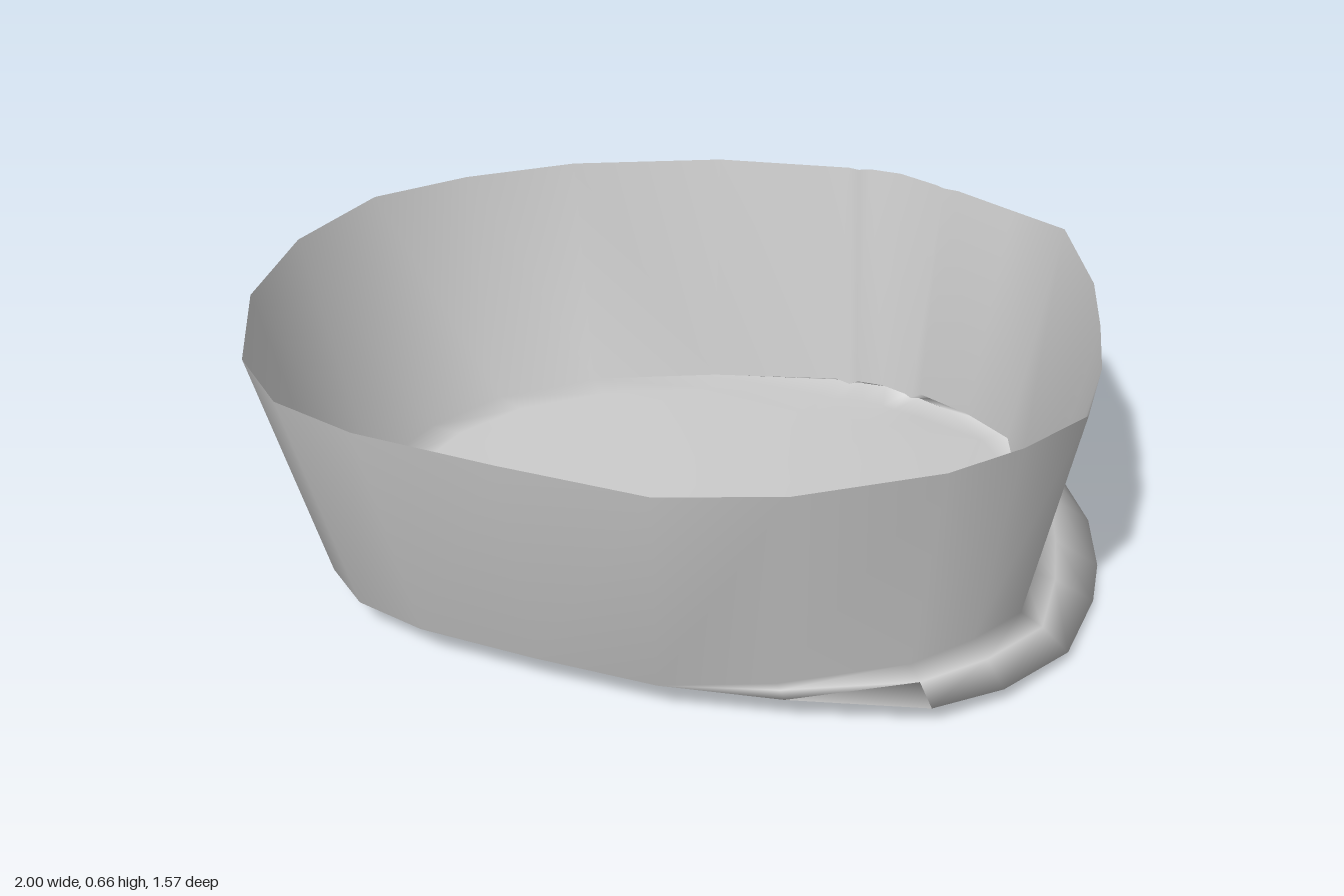
import * as THREE from 'three';
import { mergeVertices } from 'three/addons/utils/BufferGeometryUtils.js';

const RIM_Y = 0.67;

// Around the tub: [rim x, rim z, foot x, foot z]
const WALL = [
  [-1.0, 0.02, -0.84, 0.02], [-0.95, -0.26, -0.8, -0.22], [-0.81, -0.5, -0.69, -0.43],
  [-0.6, -0.63, -0.53, -0.56], [-0.34, -0.73, -0.29, -0.635], [0.03, -0.785, 0.03, -0.665],
  [0.36, -0.765, 0.35, -0.665],
  // raised strip between two narrow creases
  [0.385, -0.755, 0.385, -0.64], [0.415, -0.76, 0.405, -0.655], [0.49, -0.742, 0.47, -0.64],
  [0.58, -0.685, 0.53, -0.6], [0.6, -0.667, 0.545, -0.58], [0.635, -0.655, 0.57, -0.6],
  [0.765, -0.56, 0.69, -0.51], [0.89, -0.47, 0.79, -0.4], [0.945, -0.2, 0.81, -0.19],
  [0.948, 0.0, 0.81, 0.0], [0.94, 0.19, 0.81, 0.17], [0.9, 0.39, 0.8, 0.34],
  [0.76, 0.53, 0.69, 0.45], [0.6, 0.64, 0.55, 0.55], [0.28, 0.755, 0.26, 0.64],
  [0.0, 0.78, 0.0, 0.665], [-0.33, 0.69, -0.28, 0.59], [-0.65, 0.59, -0.55, 0.5],
  [-0.84, 0.48, -0.71, 0.4], [-0.95, 0.31, -0.8, 0.26],
];

// Outer edge of the flange beside wall points 5 to 21: [x, y, z]
const LIP_START = 5;
const LIP = [
  [0.03, 0.095, -0.675], [0.35, 0.09, -0.685], [0.39, 0.085, -0.685], [0.42, 0.082, -0.685],
  [0.48, 0.075, -0.685], [0.54, 0.065, -0.675], [0.57, 0.055, -0.665], [0.64, 0.035, -0.65],
  [0.83, 0.015, -0.59], [0.92, 0.01, -0.42], [0.99, 0.006, -0.2], [1.0, 0.012, 0.0],
  [0.98, 0.022, 0.16], [0.91, 0.033, 0.38], [0.76, 0.05, 0.55], [0.6, 0.065, 0.65],
  [0.28, 0.087, 0.675],
];

const material = new THREE.MeshStandardMaterial({ color: 0xcccccc, side: THREE.DoubleSide });

// Smooth closed skin over rows of equal length
function loft(rows) {
  const n = rows[0].length;
  const index = [];
  for (let r = 0; r < rows.length - 1; r++) {
    for (let i = 0; i < n; i++) {
      const a = r * n + i, b = r * n + ((i + 1) % n);
      index.push(a, a + n, b, b, a + n, b + n);
    }
  }
  const geometry = new THREE.BufferGeometry();
  geometry.setAttribute('position', new THREE.Float32BufferAttribute(rows.flat(2), 3));
  geometry.setIndex(index);
  const merged = mergeVertices(geometry);
  merged.computeVertexNormals();
  return merged;
}

// Named part using the bands between two rows of a skin
function part(name, skin, from, to) {
  const band = WALL.length * 6;
  const geometry = skin.clone();
  geometry.setIndex(Array.from(skin.index.array).slice(from * band, to * band));
  const mesh = new THREE.Mesh(geometry, material);
  mesh.name = name;
  return mesh;
}

// Base height: arched along x, tilted towards the back corners
function arch(x, z) {
  const drop = x < 0 ? 0.065 - 0.1 * z : 0.11 - 0.05 * z;
  return Math.max(0, 0.1 - drop * x * x);
}

export function createModel() {
  const group = new THREE.Group();
  group.name = 'tub';

  // Flared wall, its foot on the arch but level above the flange
  const rim = WALL.map(([x, z]) => [x, RIM_Y, z]);
  const foot = WALL.map(([, , x, z]) => [x, x > 0 ? 0.1 + 0.012 * x : arch(x, z), z]);

  // Flange sloping out from the foot on one end
  const edge = foot.map((p, i) => LIP[i - LIP_START] || p);
  const crest = foot.map((p, i) =>
    p.map((v, k) => v * 0.55 + edge[i][k] * 0.45 + (k === 1 ? (v - edge[i][1]) * 0.12 : 0)));

  // Arched floor reaching out under the flange
  const rings = [0, 0.2, 0.4, 0.6, 0.75, 0.88].map((s) =>
    edge.map(([x, , z]) => [x * s, arch(x * s, z * s), z * s]));

  const skin = loft([...rings, edge, crest, foot, rim]);
  group.add(part('floor', skin, 0, 6));
  group.add(part('flange', skin, 6, 8));
  group.add(part('wall', skin, 8, 9));
  return group;
}
